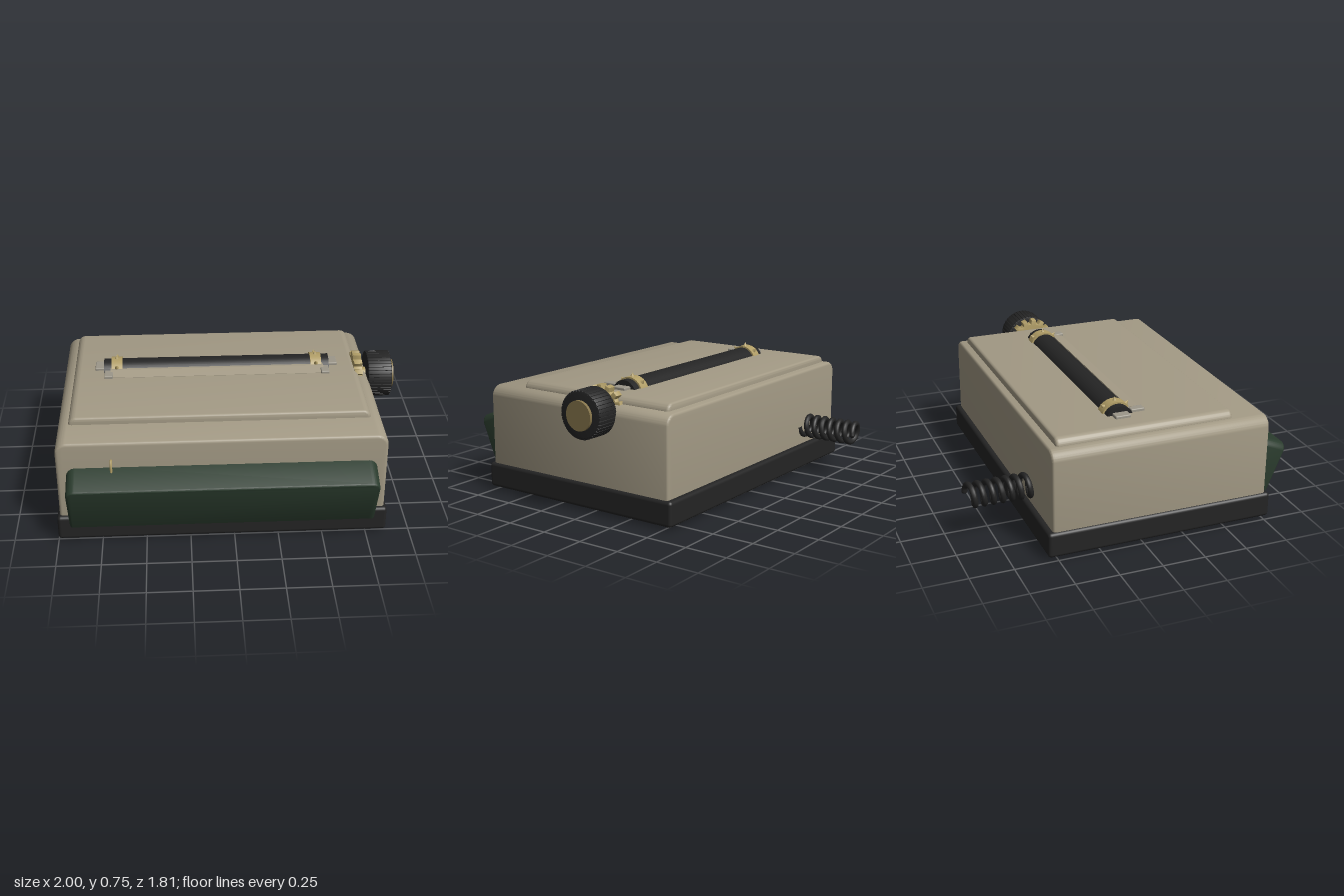
import * as THREE from 'three';
import { toCreasedNormals } from 'three/addons/utils/BufferGeometryUtils.js';
import { RoundedBoxGeometry } from 'three/addons/geometries/RoundedBoxGeometry.js';

const material = (name, color) => {
  const m = new THREE.MeshStandardMaterial({ color });
  m.name = name;
  return m;
};

export function createModel() {
  const beige = material('beige enamel', 0xa39a85);
  const black = material('black rubber', 0x242424);
  const green = material('dark green', 0x2a3b2d);
  const brass = material('brass', 0xb09d66);
  const agedBrass = material('aged brass', 0x85744a);
  const steel = material('dull steel', 0x9c978a);
  const model = new THREE.Group();
  model.name = 'typingMachine';

  const add = (name, geometry, mat, x = 0, y = 0, z = 0, parent = model) => {
    const mesh = new THREE.Mesh(geometry, mat);
    mesh.name = name;
    mesh.position.set(x, y, z);
    parent.add(mesh);
    return mesh;
  };

  // Centred slab: front outline with corner radius r, softened by a bevel
  const slab = (w, h, d, r, bevel) => {
    const a = w / 2 - bevel, b = h / 2 - bevel, c = r - bevel;
    const s = new THREE.Shape();
    s.absarc(a - c, b - c, c, 0, Math.PI / 2);
    s.absarc(-a + c, b - c, c, Math.PI / 2, Math.PI);
    s.absarc(-a + c, -b + c, c, Math.PI, Math.PI * 1.5);
    s.absarc(a - c, -b + c, c, Math.PI * 1.5, Math.PI * 2);
    const g = new THREE.ExtrudeGeometry(s, {
      depth: d - 2 * bevel, bevelSize: bevel, bevelThickness: bevel, bevelSegments: 4, curveSegments: 8,
    });
    g.translate(0, 0, bevel - d / 2);
    return toCreasedNormals(g, 0.6);
  };

  // Toothed disc along x, centred
  const toothed = (inner, outer, teeth, width, bevel) => {
    const pts = [];
    for (let i = 0; i < teeth; i++) {
      [[0, inner], [0.45, inner], [0.55, outer], [0.9, outer]].forEach(([f, r]) => {
        const t = ((i + f) / teeth) * Math.PI * 2;
        pts.push(new THREE.Vector2(Math.cos(t) * (r - bevel), Math.sin(t) * (r - bevel)));
      });
    }
    const g = new THREE.ExtrudeGeometry(new THREE.Shape(pts), {
      depth: width - 2 * bevel, bevelSize: bevel, bevelThickness: bevel, bevelSegments: 2,
    });
    g.translate(0, 0, bevel - width / 2);
    g.rotateY(Math.PI / 2);
    return toCreasedNormals(g, 0.5);
  };

  const rod = (r, length, sides = 40) => new THREE.CylinderGeometry(r, r, length, sides).rotateZ(-Math.PI / 2);

  // Base tray and feet
  add('baseTray', new RoundedBoxGeometry(1.865, 0.147, 1.335, 3, 0.02), black, -0.067, 0.0925, 0.112);
  for (const x of [-0.83, 0.695]) {
    for (const z of [-0.4, 0.64]) {
      add('foot', new THREE.CylinderGeometry(0.1, 0.1, 0.03, 32), black, x, 0.015, z);
    }
  }

  // Housing with a raised lid
  add('housing', slab(1.835, 0.535, 1.28, 0.065, 0.018), beige, -0.067, 0.3675, 0.115);
  add('lid', slab(1.7, 0.1, 1.035, 0.045, 0.018), beige, -0.07, 0.626, 0.037);

  // Tilted front panel
  const panel = add('frontPanel', slab(1.725, 0.4, 0.2, 0.05, 0.012), green, -0.068, 0.268, 0.741);
  panel.rotation.x = 0.39;

  // Small wire hook above the panel
  const hook = new THREE.CatmullRomCurve3([
    new THREE.Vector3(0, 0.52, 0.74), new THREE.Vector3(0, 0.525, 0.762),
    new THREE.Vector3(0, 0.505, 0.778), new THREE.Vector3(0, 0.46, 0.784),
  ]);
  add('wireHook', new THREE.TubeGeometry(hook, 16, 0.007, 8), brass, -0.68, 0, 0);

  // Roller with brass bands
  const roller = new THREE.Group();
  roller.name = 'rollerAssembly';
  roller.position.set(0, 0.64, -0.045);
  model.add(roller);
  add('roller', rod(0.083, 1.345), black, -0.067, 0, 0, roller);
  for (const x of [-0.663, 0.527]) {
    add('rollerBand', rod(0.093, 0.065), brass, x, 0, 0, roller);
    for (const angle of [-0.8, 0, 0.8]) {
      const stud = add('bandStud', new THREE.ConeGeometry(0.013, 0.024, 8), brass,
        x, Math.cos(angle) * 0.103, Math.sin(angle) * 0.103, roller);
      stud.rotation.x = angle;
    }
  }

  // Sloping paper ledge in front of the roller
  const wedge = new THREE.Shape([
    new THREE.Vector2(-0.095, 0.67), new THREE.Vector2(-0.02, 0.67),
    new THREE.Vector2(-0.02, 0.699), new THREE.Vector2(-0.035, 0.698), new THREE.Vector2(-0.095, 0.678),
  ]);
  const ledge = new THREE.ExtrudeGeometry(wedge, { depth: 1.27, bevelEnabled: false }).rotateY(Math.PI / 2);
  add('paperLedge', ledge, beige, -0.7, 0, 0);

  // Roller end brackets and tabs
  for (const side of [-1, 1]) {
    const at = (offset) => -0.067 + side * offset;
    add('endBracket', new RoundedBoxGeometry(0.06, 0.05, 0.09, 2, 0.006), steel, at(0.695), 0.667, -0.045);
    add('bracketTab', new RoundedBoxGeometry(0.05, 0.04, 0.08, 2, 0.006), steel, at(0.643), 0.673, 0.065);
  }

  // Side gear, shaft and turning knob
  const knob = new THREE.Group();
  knob.name = 'turningKnob';
  knob.position.set(0, 0.593, -0.04);
  model.add(knob);
  add('gear', toothed(0.115, 0.14, 14, 0.05, 0.004), brass, 0.78, 0, 0, knob);
  add('shaft', rod(0.04, 0.14), brass, 0.8, 0, 0, knob);
  add('grip', toothed(0.133, 0.138, 40, 0.145, 0.008), black, 0.91, 0, 0, knob);
  add('knobCap', rod(0.085, 0.03), agedBrass, 0.985, 0, 0, knob);

  // Coiled cord at the back
  const turns = 7;
  const coil = [];
  for (let i = 0; i <= turns * 16; i++) {
    const t = (i / 16) * Math.PI * 2;
    coil.push(new THREE.Vector3(Math.cos(t) * 0.06, -Math.sin(t) * 0.06, -0.52 - (i / (turns * 16)) * 0.37));
  }
  const cord = new THREE.CatmullRomCurve3(coil);
  add('coiledCord', new THREE.TubeGeometry(cord, turns * 28, 0.0165, 10), black, -0.62, 0.28, 0);
  const end = new THREE.SphereGeometry(0.0165, 12, 8);
  add('cordEnd', end, black, -0.56, 0.28, -0.89);

  return model;
}
